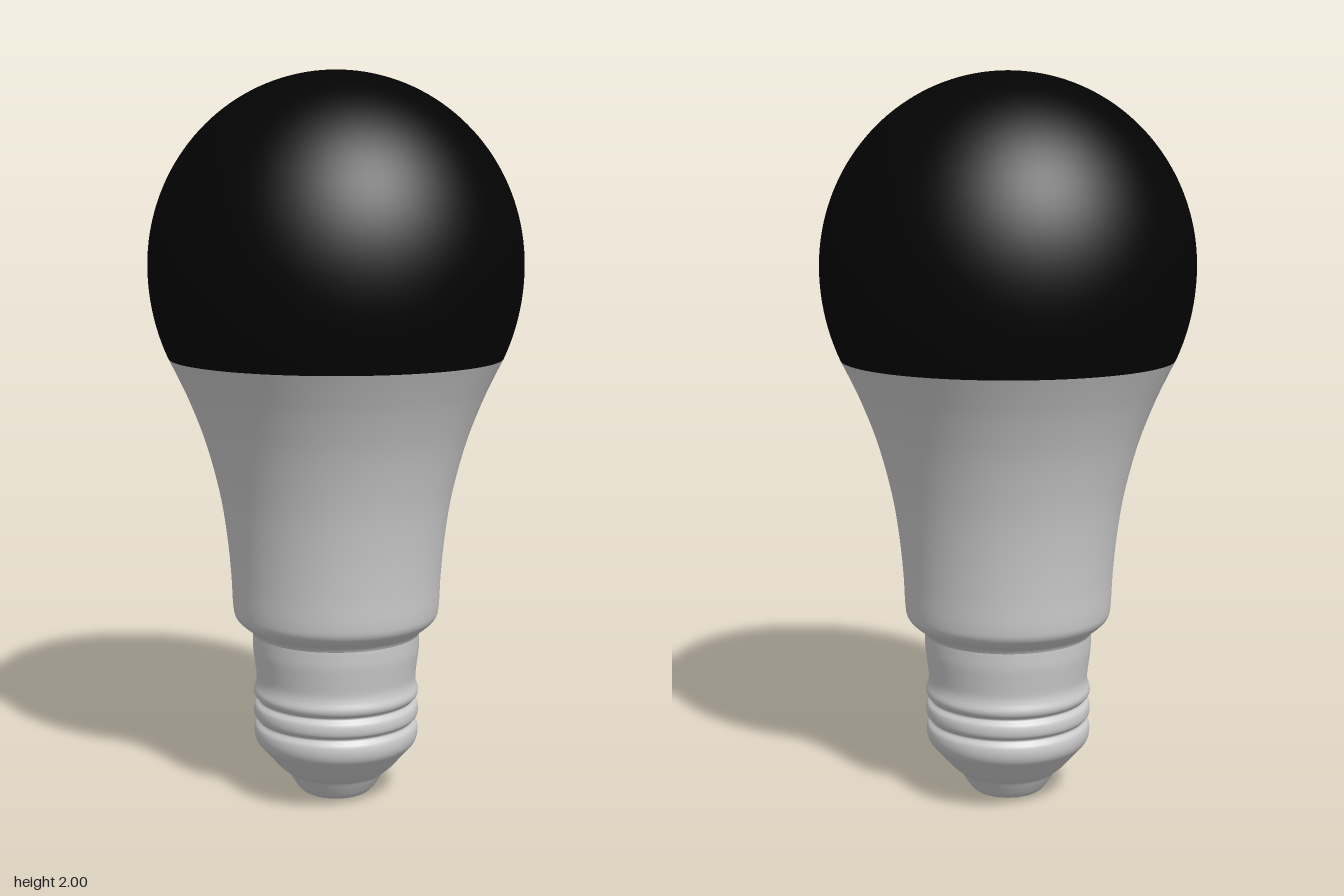
import * as THREE from 'three';

const SEGMENTS = 96;

// Smooth curve through [radius, height] points, listed bottom to top
function smooth(points, divisions) {
  const curve = new THREE.SplineCurve(points.map(([r, y]) => new THREE.Vector2(r, y)));
  return curve.getPoints(divisions).map((p) => new THREE.Vector2(Math.max(p.x, 0), p.y));
}

function turned(name, profile, color) {
  const material = new THREE.MeshStandardMaterial({ color, side: THREE.DoubleSide });
  const mesh = new THREE.Mesh(new THREE.LatheGeometry(profile, SEGMENTS), material);
  mesh.name = name;
  return mesh;
}

export function createModel() {
  const group = new THREE.Group();
  group.name = 'lightBulb';

  // Globe: round top, slightly stretched below its widest ring
  const radius = 0.507, widest = 1.48, seam = 1.235;
  const globe = [];
  const start = -Math.asin((widest - seam) / 0.555);
  for (let i = 0; i <= 48; i++) {
    const a = start + (Math.PI / 2 - start) * (i / 48);
    const rise = a < 0 ? 0.555 : 2 - widest;
    globe.push(new THREE.Vector2(Math.max(radius * Math.cos(a), 0), widest + rise * Math.sin(a)));
  }
  group.add(turned('globe', globe, 0x030303));

  // Flared housing with a rounded lower lip
  group.add(turned('housing', smooth([
    [0.232, 0.468], [0.24, 0.48], [0.262, 0.497], [0.28, 0.518], [0.286, 0.55],
    [0.29, 0.63], [0.299, 0.73], [0.315, 0.84], [0.338, 0.94], [0.365, 1.03],
    [0.4, 1.12], [0.43, 1.185], [globe[0].x, seam],
  ], 72), 0xcccccc));

  // Screw base: plain collar above three rounded threads
  group.add(turned('screwBase', smooth([
    [0.205, 0.138], [0.222, 0.158], [0.229, 0.18], [0.227, 0.203], [0.216, 0.219],
    [0.227, 0.232], [0.23, 0.247], [0.227, 0.264], [0.216, 0.278],
    [0.227, 0.291], [0.23, 0.305], [0.224, 0.325], [0.222, 0.345],
    [0.226, 0.38], [0.231, 0.42], [0.232, 0.45], [0.232, 0.468],
  ], 96), 0xcccccc));

  // Insulator tapering down to the contact
  group.add(turned('insulator', smooth([
    [0.148, 0.077], [0.165, 0.092], [0.185, 0.115], [0.205, 0.138],
  ], 16), 0xcccccc));

  // Rounded contact tip, closed at the bottom
  group.add(turned('contactTip', smooth([
    [0, 0], [0.05, 0.003], [0.085, 0.008], [0.104, 0.02], [0.123, 0.047],
    [0.136, 0.068], [0.148, 0.077],
  ], 30), 0xcccccc));

  return group;
}
